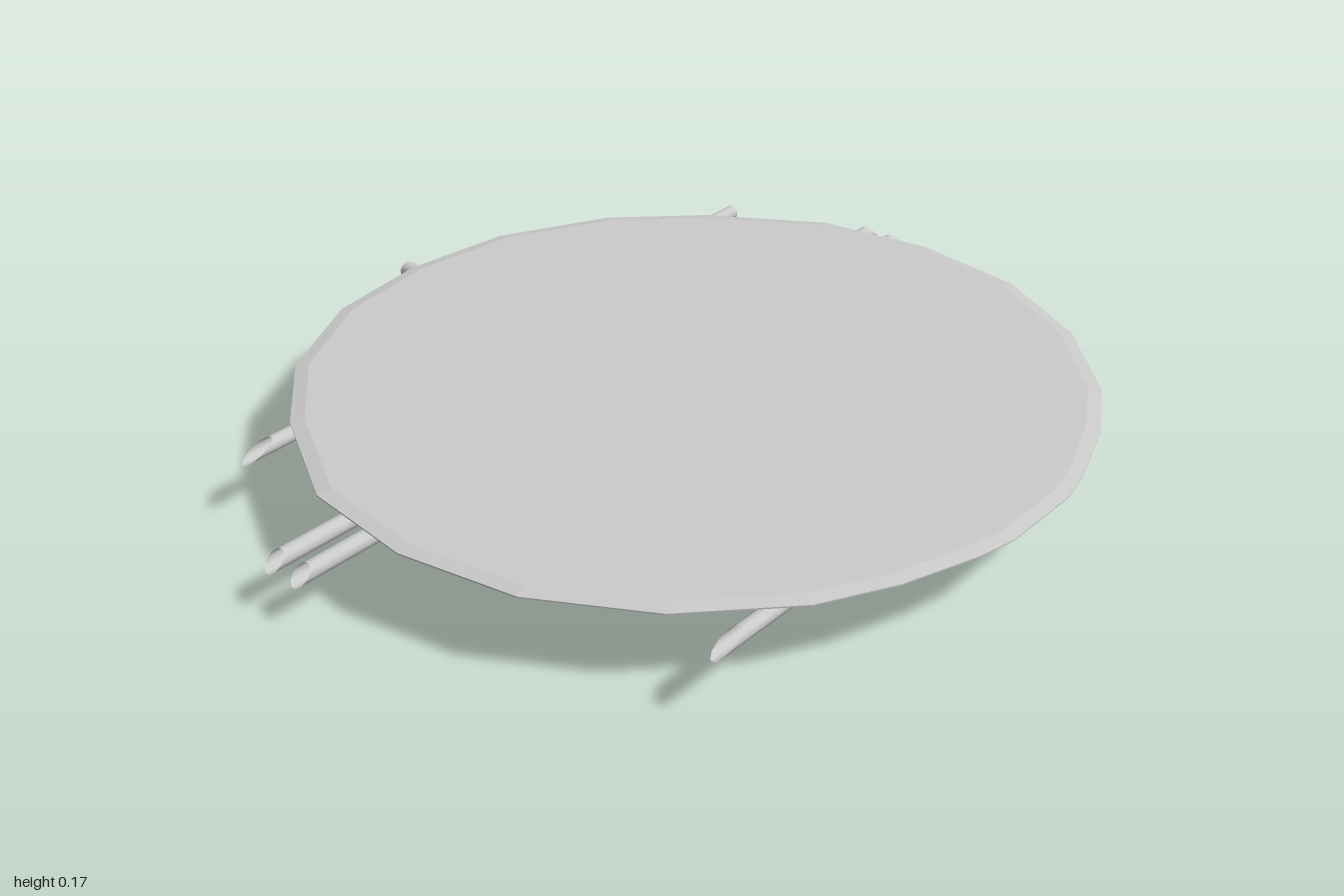
import * as THREE from 'three';

const material = new THREE.MeshStandardMaterial({ color: 0xcccccc });
const pipeMaterial = new THREE.MeshStandardMaterial({ color: 0xcccccc, side: THREE.DoubleSide });

// Path that steps exactly through its listed points
class StepPath extends THREE.Curve {
  constructor(points) { super(); this.points = points; }
  getPoint(t) {
    return this.points[Math.round(t * (this.points.length - 1))].clone();
  }
  getPointAt(u) { return this.getPoint(u); }
  getTangentAt(u) {
    const p = this.points, n = p.length - 1, i = Math.round(u * n);
    const a = p[Math.max(i - 1, 0)], b = p[i], c = p[Math.min(i + 1, n)];
    return b.clone().sub(a).normalize().add(c.clone().sub(b).normalize()).normalize();
  }
}

// Replace each corner of a polyline by a small arc
function roundCorners(corners, radius) {
  const v = corners.map(c => new THREE.Vector3(...c));
  const out = [v[0]];
  for (let i = 1; i < v.length - 1; i++) {
    const before = v[i - 1].clone().sub(v[i]).setLength(radius).add(v[i]);
    const after = v[i + 1].clone().sub(v[i]).setLength(radius).add(v[i]);
    out.push(...new THREE.QuadraticBezierCurve3(before, v[i], after).getPoints(4));
  }
  out.push(v[v.length - 1]);
  return out;
}

// Round pipe; a slant makes the underside of an open end reach further out
function pipe(name, corners, r, slantStart = 0, slantEnd = 0) {
  const sides = 10;
  const points = roundCorners(corners, 0.035);
  const n = points.length - 1;
  const geo = new THREE.TubeGeometry(new StepPath(points), n, r, sides, false);
  const pos = geo.attributes.position;
  const cut = (ring, slant, end, inner) => {
    const outward = end.clone().sub(inner).normalize();
    for (let j = 0; j <= sides; j++) {
      const k = ring * (sides + 1) + j;
      const shift = -(pos.getY(k) - end.y + r) * slant;
      pos.setX(k, pos.getX(k) + outward.x * shift);
    }
  };
  cut(0, slantStart, points[0], points[1]);
  cut(n, slantEnd, points[n], points[n - 1]);
  const mesh = new THREE.Mesh(geo, pipeMaterial);
  mesh.name = name;
  return mesh;
}

function box(name, x0, x1, y0, y1, z0, z1) {
  const mesh = new THREE.Mesh(new THREE.BoxGeometry(x1 - x0, y1 - y0, z1 - z0), material);
  mesh.position.set((x0 + x1) / 2, (y0 + y1) / 2, (z0 + z1) / 2);
  mesh.name = name;
  return mesh;
}

// Thin many-sided plate with a bevelled rim
function plate() {
  const half = [
    [0.26, -0.82], [0.51, -0.69], [0.68, -0.51], [0.835, -0.25], [0.875, 0.02], [0.835, 0.29],
    [0.705, 0.53], [0.515, 0.715], [0.36, 0.80], [0.19, 0.86], [0.10, 0.88],
  ];
  const mirrored = half.map(([x, z]) => [-x, z]).reverse();
  const outline = [[0, -0.855], ...half, ...mirrored].map(p => new THREE.Vector2(...p));
  const geo = new THREE.ExtrudeGeometry(new THREE.Shape(outline), {
    depth: 0.003, bevelEnabled: true, bevelThickness: 0.006,
    bevelSize: 0.03, bevelOffset: -0.03, bevelSegments: 1,
  });
  geo.rotateX(Math.PI / 2);
  const mesh = new THREE.Mesh(geo, material);
  mesh.position.y = 0.168;
  mesh.name = 'plate';
  return mesh;
}

export function createModel() {
  const model = new THREE.Group();
  model.name = 'plateWithPipes';
  model.add(plate());

  // L-shaped block under the plate
  model.add(box('blockInner', 0.1, 0.365, 0.04, 0.163, -0.4, -0.13));
  model.add(box('blockOuter', 0.365, 0.62, 0.04, 0.163, -0.4, -0.24));

  // Pair of side pipes: one runs into the block, one jogs around it
  const py = 0.103, r = 0.02;
  model.add(pipe('straightPipeLeft', [[1, py, -0.215], [0.34, py, -0.215]], r, 1));
  model.add(pipe('straightPipeRight', [[-1, py, -0.215], [0.12, py, -0.215]], r, 1));
  model.add(pipe('joggedPipe', [
    [-1, py, -0.14], [-0.18, py, -0.14], [-0.18, py, -0.015],
    [0.62, py, -0.015], [0.62, py, -0.14], [1, py, -0.14],
  ], r, 1, 1));

  // Rear pipe that dips below the block
  model.add(pipe('dippedPipe', [
    [-0.81, 0.14, -0.51], [-0.12, 0.14, -0.51], [-0.12, 0.018, -0.51],
    [0.55, 0.018, -0.51], [0.55, 0.14, -0.51], [0.785, 0.14, -0.51],
  ], 0.018, 2.2));

  // Front pipe turning back into the block
  model.add(pipe('frontPipe', [
    [-0.72, 0.145, 0.65], [0.225, 0.145, 0.65], [0.225, 0.145, -0.15],
  ], 0.018, 2.2));

  // Back pipe entering the block from the side
  model.add(pipe('backPipe', [
    [0.005, 0.15, -0.885], [0.005, 0.15, -0.27], [0.12, 0.15, -0.27],
  ], 0.021));

  return model;
}
